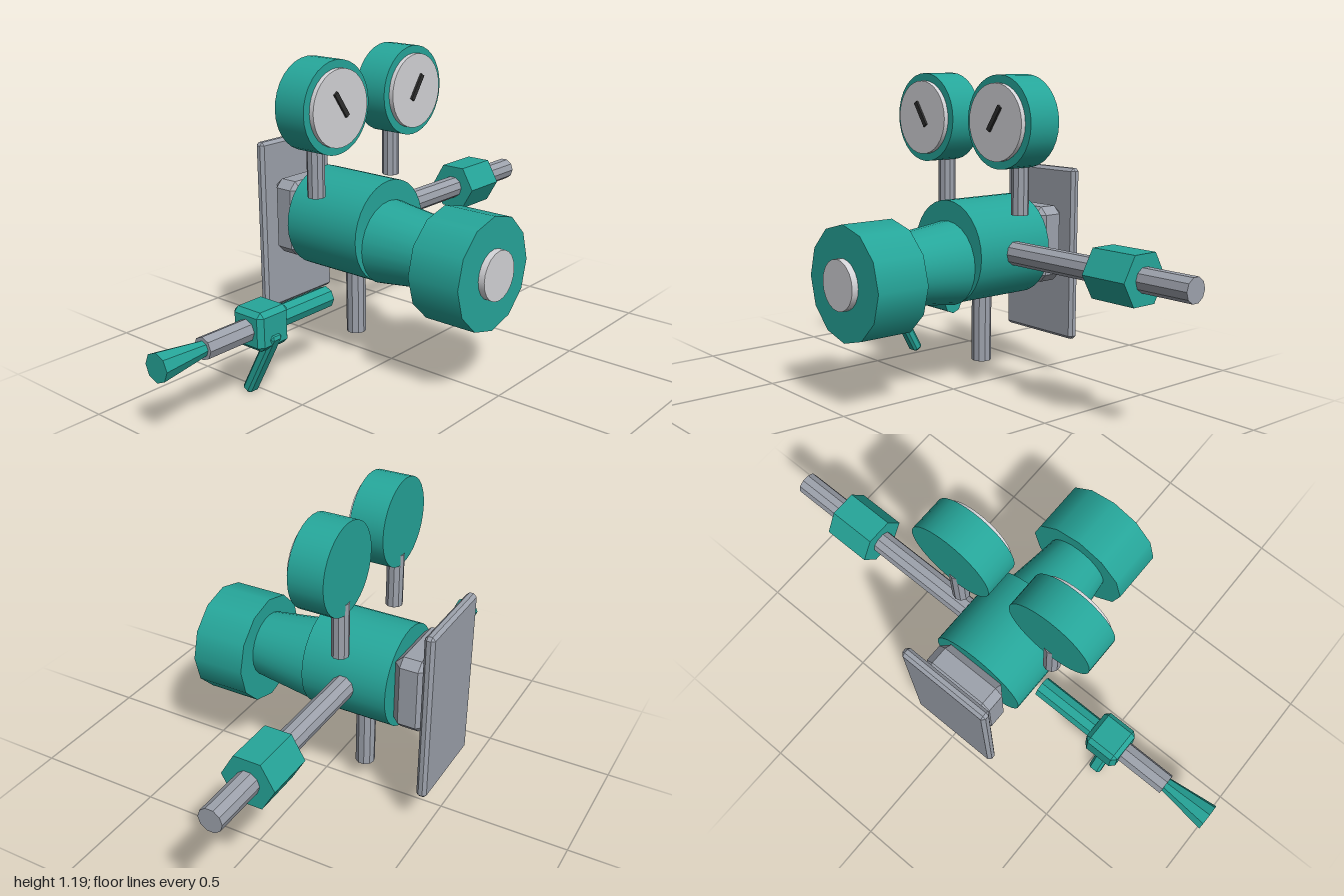
import * as THREE from 'three';
import { ConvexGeometry } from 'three/addons/geometries/ConvexGeometry.js';

export function createModel() {
  const model = new THREE.Group();
  model.name = 'gasRegulator';

  const mat = (name, color, flatShading = false) => {
    const m = new THREE.MeshStandardMaterial({ color });
    m.name = name;
    m.flatShading = flatShading;
    return m;
  };
  const teal = mat('teal', 0x26a69a);
  const steel = mat('steelGrey', 0x9da2ac);
  const dial = mat('dialGrey', 0xd4d4d8);
  const dark = mat('needleBlack', 0x2c2c2c);

  const add = (name, geometry, material, x, y, z, parent = model) => {
    const mesh = new THREE.Mesh(geometry, material);
    mesh.name = name;
    mesh.position.set(x, y, z);
    parent.add(mesh);
    return mesh;
  };

  // Cylinder along an axis; r1 is the radius at the positive end. Few sides stay faceted.
  const rod = (axis, r0, r1, length, sides) => {
    let g = new THREE.CylinderGeometry(r1, r0, length, sides);
    if (axis === 'x') g.rotateZ(-Math.PI / 2);
    if (axis === 'z') g.rotateX(Math.PI / 2);
    if (sides < 12) {
      g = g.toNonIndexed();
      g.computeVertexNormals();
    }
    return g;
  };

  // Box with every edge cut at 45 degrees
  const chamferBox = (w, h, d, c) => {
    const pts = [];
    for (const sx of [-1, 1]) for (const sy of [-1, 1]) for (const sz of [-1, 1]) {
      const x = sx * w / 2, y = sy * h / 2, z = sz * d / 2;
      pts.push(
        new THREE.Vector3(x, y - sy * c, z - sz * c),
        new THREE.Vector3(x - sx * c, y, z - sz * c),
        new THREE.Vector3(x - sx * c, y - sy * c, z));
    }
    return new ConvexGeometry(pts);
  };

  const cx = -0.023; // centre line of the body
  const pz = -0.16;  // plane of all the pipes

  // Body, bonnet and adjusting knob
  add('body', rod('z', 0.195, 0.195, 0.338, 32), teal, cx, 0.545, -0.16);
  add('bonnet', rod('z', 0.16, 0.127, 0.26, 24), teal, cx, 0.503, 0.137);
  add('knob', rod('z', 0.2125, 0.2125, 0.212, 12), teal, cx, 0.4825, 0.371);
  add('knobCap', rod('z', 0.093, 0.093, 0.026, 20), dial, cx, 0.4825, 0.489);

  // Wall mount
  add('mountBlock', chamferBox(0.295, 0.295, 0.13, 0.03), steel, cx, 0.5475, -0.395);
  add('mountPlate', chamferBox(0.376, 0.678, 0.04, 0.012), steel, cx, 0.5025, -0.481);

  // Gauges
  for (const side of [-1, 1]) {
    const gauge = new THREE.Group();
    gauge.name = side < 0 ? 'rightGauge' : 'leftGauge';
    gauge.position.set(cx + side * 0.2125, 0, 0);
    model.add(gauge);
    add('gaugeStem', rod('y', 0.033, 0.033, 0.213, 10), steel, 0, 0.8, pz, gauge);
    add('gaugeCase', rod('z', 0.169, 0.169, 0.135, 32), teal, 0, 1.036, -0.12, gauge);
    add('gaugeDial', rod('z', 0.14, 0.14, 0.018, 32), dial, 0, 1.036, -0.0435, gauge);
    const needle = add('gaugeNeedle', new THREE.BoxGeometry(0.018, 0.106, 0.009), dark,
      0, 1.05, -0.0305, gauge);
    needle.rotation.z = -side * 0.6;
  }

  // Outlet pipe with hex nut, and lower port
  add('outletPipe', rod('x', 0.045, 0.045, 0.85, 10), steel, 0.575, 0.547, pz);
  add('hexNut', rod('x', 0.101, 0.101, 0.187, 6), teal, 0.699, 0.547, pz);
  add('lowerPort', rod('y', 0.038, 0.038, 0.3, 10), steel, cx, 0.25, pz);

  // Valve line with lever and hose barb
  const vy = 0.293;
  add('valvePipe', rod('x', 0.042, 0.042, 0.28, 8), teal, -0.336, vy, pz);
  add('valveBody', chamferBox(0.146, 0.146, 0.146, 0.018), teal, -0.533, vy, pz);
  const lever = add('valveLever', chamferBox(0.052, 0.29, 0.042, 0.01), teal, -0.535, 0.147, -0.16);
  lever.rotation.x = 0.5;
  add('barbPipe', rod('x', 0.042, 0.042, 0.23, 8), steel, -0.69, vy, pz);
  add('hoseBarb', rod('x', 0.054, 0.028, 0.2, 8), teal, -0.9, vy, pz);

  return model;
}
